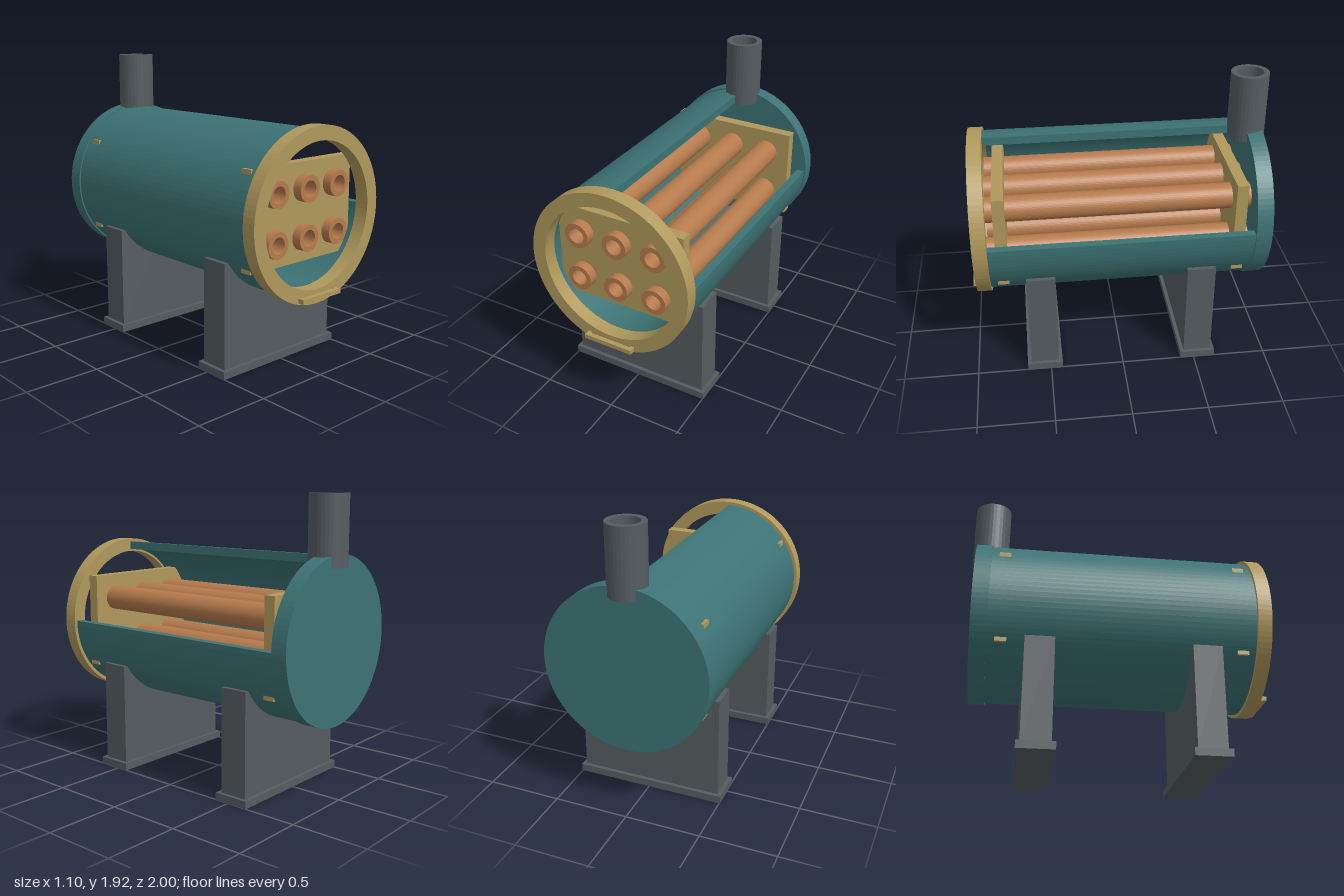
import * as THREE from 'three';

const AXIS_Y = 1.015; // height of the boiler axis
const SHELL_R = 0.53;

const material = (color) => new THREE.MeshStandardMaterial({ color, flatShading: true });

function addMesh(parent, name, geometry, mat, x = 0, y = 0, z = 0) {
  const mesh = new THREE.Mesh(geometry, mat);
  mesh.name = name;
  mesh.position.set(x, y, z);
  parent.add(mesh);
  return mesh;
}

function circle(r, x = 0, y = 0, Type = THREE.Shape) {
  return new Type().absarc(x, y, r, 0, Math.PI * 2, false);
}

// Extrude a shape along z from z0 to z1
function slab(shape, z0, z1, curveSegments = 48) {
  const g = new THREE.ExtrudeGeometry(shape, { depth: z1 - z0, bevelEnabled: false, curveSegments });
  return g.translate(0, 0, z0);
}

function ringShape(outer, inner) {
  const s = circle(outer);
  s.holes.push(circle(inner, 0, 0, THREE.Path));
  return s;
}

export function createModel() {
  const model = new THREE.Group();
  model.name = 'cutawayBoiler';

  const teal = material(0x3d7375);
  const brass = material(0xb0995c);
  const copper = material(0xb57a4c);
  const steel = material(0x555c60);

  // Shell with the upper left quarter cut away
  const shell = new THREE.Shape();
  shell.absarc(0, 0, SHELL_R, Math.PI / 2, Math.PI * 2, false);
  shell.absarc(0, 0, 0.475, Math.PI * 2, Math.PI / 2, true);
  shell.closePath();
  addMesh(model, 'shell', slab(shell, -0.855, 0.865, 36), teal, 0, AXIS_Y);

  // Closed rear end and open front ring
  addMesh(model, 'rearCap', slab(circle(0.54), -0.96, -0.855), teal, 0, AXIS_Y);
  addMesh(model, 'frontRing', slab(ringShape(0.552, 0.46), 0.865, 0.958), brass, 0, AXIS_Y);

  // Handle on the front ring
  const handle = new THREE.Group();
  handle.name = 'handle';
  model.add(handle);
  addMesh(handle, 'handleBar', new THREE.BoxGeometry(0.34, 0.03, 0.03), brass, 0, 0.515, 0.985);
  for (const side of [-1, 1]) {
    addMesh(handle, 'handlePost', new THREE.BoxGeometry(0.025, 0.03, 0.025), brass, side * 0.1575, 0.515, 0.96);
  }

  // Six fire tubes
  const tubeSpots = [];
  for (const y of [1.17, 0.86]) for (const x of [-0.27, 0, 0.27]) tubeSpots.push([x, y]);
  const tubeGeometry = slab(ringShape(0.085, 0.053), -0.86, 0.88, 24);
  for (const [x, y] of tubeSpots) addMesh(model, 'fireTube', tubeGeometry, copper, x, y);

  // Tube plates, whose corners poke through the shell
  const plate = new THREE.Shape();
  plate.moveTo(-0.445, 0.7).lineTo(0.445, 0.7).lineTo(0.445, 1.333).lineTo(-0.445, 1.333).closePath();
  for (const [x, y] of tubeSpots) plate.holes.push(circle(0.084, x, y, THREE.Path));
  for (const z of [0.78, -0.768]) {
    addMesh(model, 'tubePlate', slab(plate, -0.0375, 0.0375, 24), brass, 0, 0, z);
  }

  // Chimney: a pipe with a floor
  const profile = [[0, 1.475], [0.124, 1.475], [0.124, 1.92], [0.088, 1.92], [0.088, 1.485], [0, 1.485]];
  const chimney = new THREE.LatheGeometry(profile.map((p) => new THREE.Vector2(...p)), 32);
  addMesh(model, 'chimney', chimney, steel, 0, 0, -0.875);

  // Saddle supports on foot plates
  const topY = 0.735;
  const a = Math.asin((AXIS_Y - topY) / SHELL_R);
  const saddle = new THREE.Shape();
  saddle.moveTo(-0.48, 0.05).lineTo(0.48, 0.05).lineTo(0.48, topY);
  saddle.absarc(0, AXIS_Y, SHELL_R, -a, -Math.PI + a, true);
  saddle.lineTo(-0.48, topY).closePath();
  for (const z of [0.54, -0.525]) {
    const support = new THREE.Group();
    support.name = 'support';
    support.position.z = z;
    model.add(support);
    addMesh(support, 'saddle', slab(saddle, -0.095, 0.095), steel);
    addMesh(support, 'footPlate', new THREE.BoxGeometry(1.01, 0.05, 0.24), steel, 0, 0.025, 0);
  }

  return model;
}
